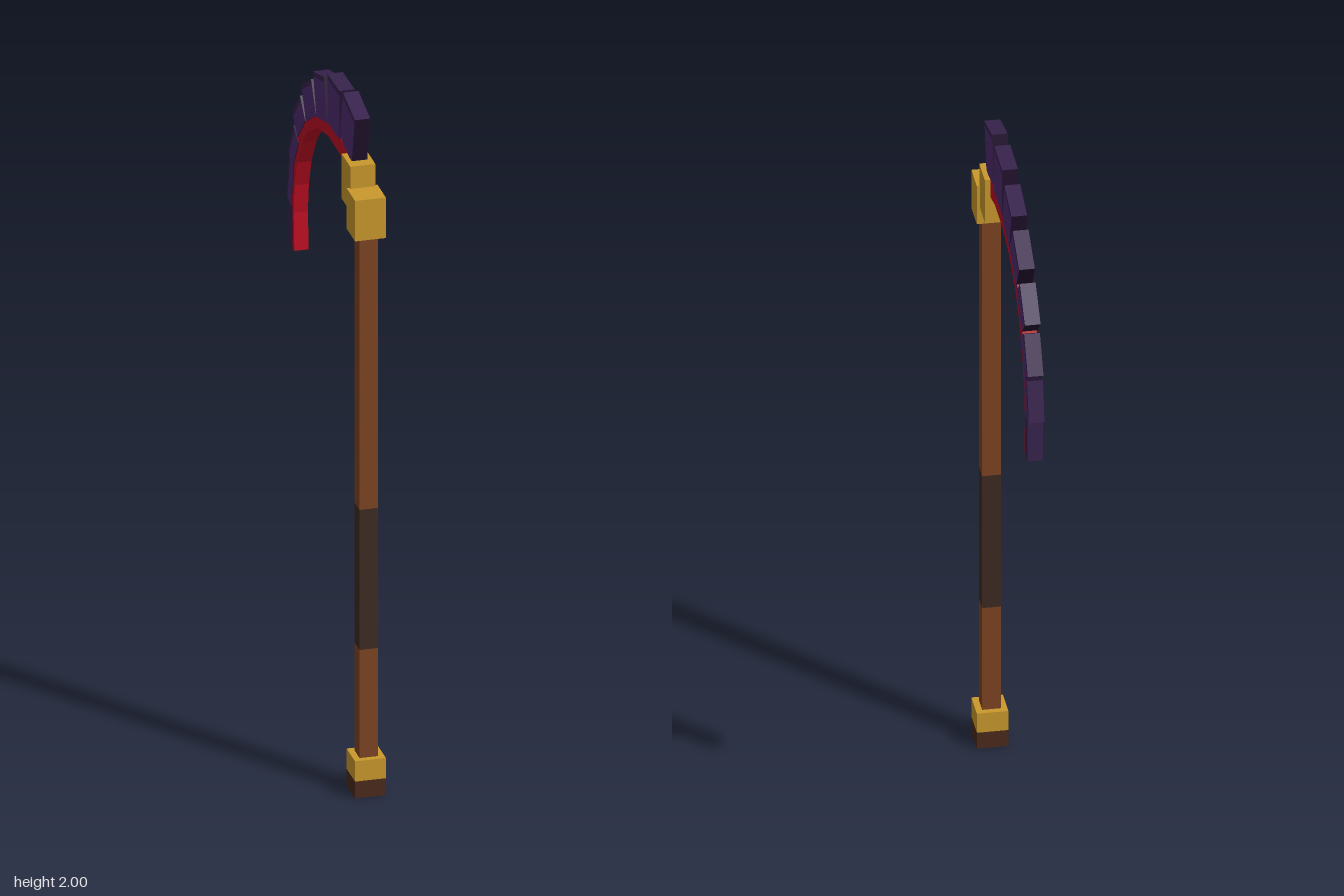
import * as THREE from 'three';

const mat = (name, color) => {
  const m = new THREE.MeshStandardMaterial({ color });
  m.name = name;
  return m;
};

export function createModel() {
  const model = new THREE.Group();
  model.name = 'scythe';

  const wood = mat('brown wood', 0x7d4423);
  const wrap = mat('dark wrap', 0x3d2b22);
  const foot = mat('dark wood', 0x4a2a1c);
  const gold = mat('gold', 0xc9992c);
  const red = mat('red edge', 0xbc0e22);
  const purple = mat('purple', 0x4f2c6e);
  const spine = mat('dark purple', 0x38234d);
  const shade = mat('deep violet', 0x22122f);

  const box = (name, material, w, h, d, y, z, parent = model) => {
    const mesh = new THREE.Mesh(new THREE.BoxGeometry(w, h, d), material);
    mesh.name = name;
    mesh.position.set(0, y, z);
    parent.add(mesh);
    return mesh;
  };
  // Upright square section between two heights
  const post = (name, material, width, y0, y1, z = 0.353) =>
    box(name, material, width, y1 - y0, width, (y0 + y1) / 2, z);

  // Shaft
  post('footCap', foot, 0.086, 0, 0.05);
  post('footCollar', gold, 0.086, 0.05, 0.11);
  post('lowerShaft', wood, 0.051, 0.11, 0.43);
  post('grip', wrap, 0.051, 0.43, 0.845);
  post('upperShaft', wood, 0.051, 0.845, 1.65);

  // Head fittings
  post('headCollar', gold, 0.086, 1.65, 1.77);
  box('bladeSocket', gold, 0.07, 0.133, 0.088, 1.769, 0.274);

  // Cutting edge: curved band, drawn as [z, y] from socket to tip
  const inner = [[0.235, 1.78], [0.156, 1.8], [0.034, 1.8], [-0.071, 1.775], [-0.167, 1.727],
    [-0.23, 1.664], [-0.283, 1.579], [-0.31, 1.5], [-0.32, 1.415], [-0.312, 1.305]];
  const outer = [[0.235, 1.845], [0.156, 1.848], [0.034, 1.848], [-0.09, 1.82], [-0.19, 1.765],
    [-0.262, 1.69], [-0.318, 1.59], [-0.342, 1.5], [-0.348, 1.41], [-0.338, 1.305]];
  const outline = [...inner, ...outer.reverse()].map(([z, y]) => new THREE.Vector2(-z, y));
  const band = new THREE.ExtrudeGeometry(new THREE.Shape(outline), { depth: 0.04, bevelEnabled: false });
  band.translate(0, 0, -0.02).rotateY(Math.PI / 2);
  const edge = new THREE.Mesh(band, red);
  edge.name = 'cuttingEdge';
  model.add(edge);

  // Blade plates: z, y, length, height, tilt in degrees
  const plates = [
    [0.238, 1.914, 0.125, 0.145, 13],
    [0.096, 1.913, 0.123, 0.143, -1.5],
    [-0.042, 1.881, 0.116, 0.125, -16],
    [-0.161, 1.819, 0.12, 0.1, -31],
    [-0.262, 1.726, 0.116, 0.075, -46],
    [-0.32, 1.611, 0.116, 0.06, -60],
    [-0.353, 1.492, 0.12, 0.05, -77],
    [-0.35, 1.367, 0.124, 0.035, -90],
  ];
  const rim = 0.014;
  plates.forEach(([z, y, length, height, tilt], i) => {
    const plate = new THREE.Group();
    plate.name = `bladePlate${i + 1}`;
    plate.position.set(0, y, z);
    plate.rotation.x = THREE.MathUtils.degToRad(tilt);
    model.add(plate);
    const side = i === plates.length - 1 ? spine : purple;
    // Sides, spine, underside and both ends
    box('plateBody', [side, side, spine, shade, shade, shade],
      0.043, height - rim, length, -rim / 2, 0, plate);
    box('plateRim', [spine, spine, spine, spine, shade, shade],
      0.043, rim, length, (height - rim) / 2, 0, plate);
  });

  return model;
}
